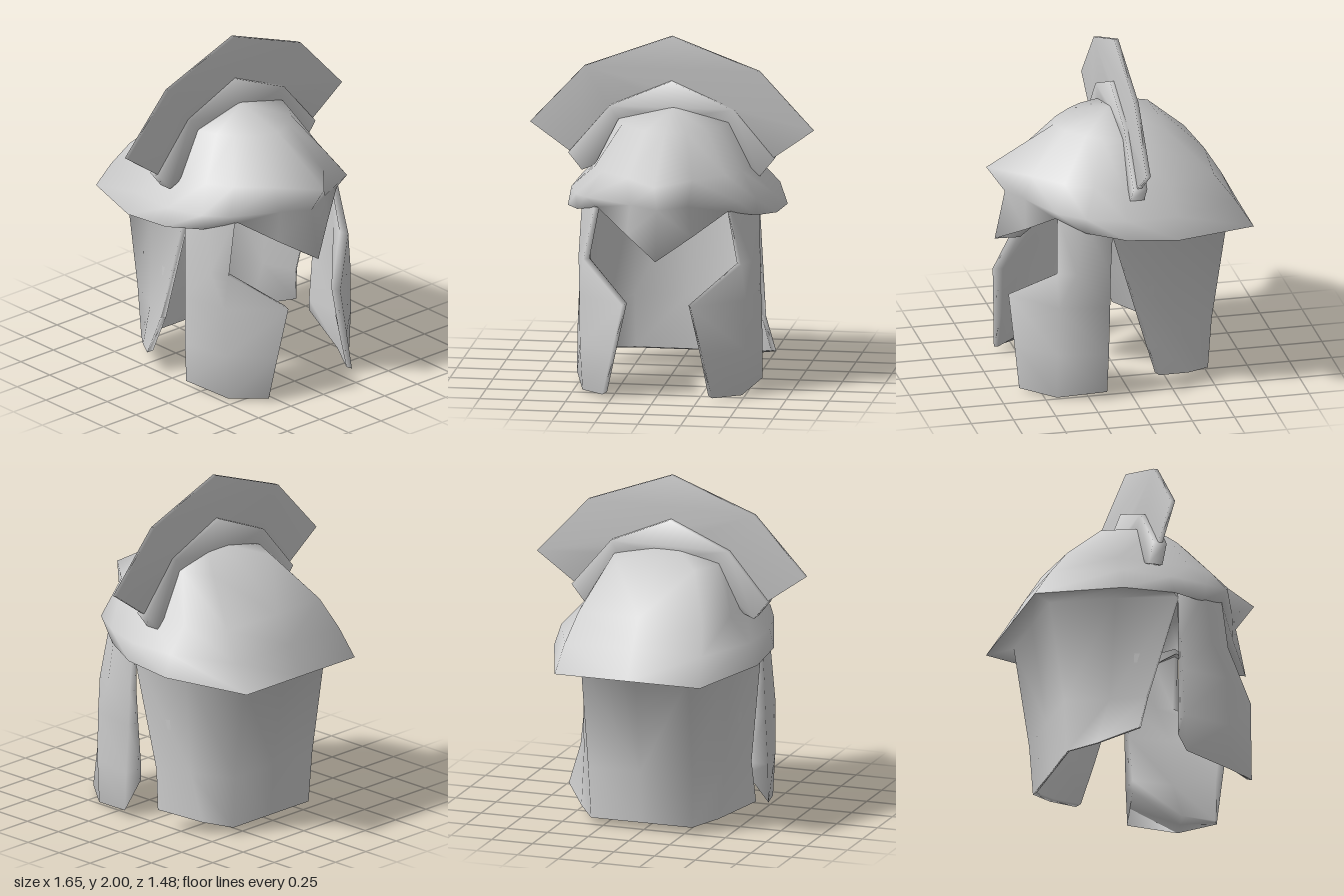
import * as THREE from 'three';
import { mergeVertices } from 'three/addons/utils/BufferGeometryUtils.js';

const material = new THREE.MeshStandardMaterial({ color: 0xcccccc, side: THREE.DoubleSide });

const flipX = ([x, y, z]) => [-x, y, z];
const mirrorRows = (rows) => rows.map((r) => r.map(flipX).reverse());

function smoothMesh(name, geometry) {
  const g = mergeVertices(geometry);
  g.computeVertexNormals();
  const mesh = new THREE.Mesh(g, material);
  mesh.name = name;
  return mesh;
}

// Smooth skin over closed cross-sections, listed from top to bottom
function loft(name, rows) {
  const n = rows[0].length;
  const index = [];
  for (let r = 0; r < rows.length - 1; r++) {
    for (let c = 0; c < n; c++) {
      const next = (c + 1) % n;
      const a = r * n + c, b = a + n, d = r * n + next, e = d + n;
      // Mirror the diagonals across the middle
      if (rows[r + 1][c][0] + rows[r + 1][next][0] > 0) index.push(a, b, e, a, e, d);
      else index.push(a, b, d, b, e, d);
    }
  }
  const g = new THREE.BufferGeometry();
  g.setAttribute('position', new THREE.Float32BufferAttribute(rows.flat(2), 3));
  g.setIndex(index);
  return smoothMesh(name, g);
}

// Fold a thin loop onto its middle line, which closes the end of a plate
const fold = (row) => row.map((p, i) => p.map((v, k) => (v + row[row.length - 1 - i][k]) / 2));

// Upright plate with a mirrored outline, given along the top and back inside
function arch(name, half, z, depth) {
  const left = half.filter(([x]) => x > 0).reverse().map(([x, y]) => [-x, y]);
  const shape = new THREE.Shape([...half, ...left].map(([x, y]) => new THREE.Vector2(x, y)));
  const g = new THREE.ExtrudeGeometry(shape, { depth, bevelEnabled: false });
  g.translate(0, 0, z - depth / 2);
  g.deleteAttribute('normal');
  g.deleteAttribute('uv');
  return smoothMesh(name, g);
}

// Rim of the bowl from side to back, where the neck guard begins
const backRim = [[0.61, 1.0, 0.05], [0.625, 0.98, -0.26], [0.445, 0.95, -0.74], [0, 0.95, -0.74]];

function createDome() {
  // Half rings from the front middle round the +x side to the back middle
  const halves = [
    [[0, 1.51, 0.34], [0.12, 1.51, 0.30], [0.22, 1.51, 0.20], [0.28, 1.51, 0.12],
      [0.32, 1.51, 0.02], [0.32, 1.51, -0.10], [0.24, 1.51, -0.27], [0, 1.51, -0.28]],
    [[0, 1.28, 0.74], [0.19, 1.28, 0.52], [0.36, 1.28, 0.36], [0.43, 1.27, 0.20],
      [0.45, 1.25, 0.03], [0.45, 1.25, -0.24], [0.38, 1.27, -0.52], [0, 1.28, -0.55]],
    [[0, 1.12, 0.63], [0.17, 1.13, 0.55], [0.45, 1.14, 0.43], [0.53, 1.12, 0.27],
      [0.59, 1.11, 0.04], [0.58, 1.11, -0.26], [0.42, 1.11, -0.64], [0, 1.12, -0.65]],
    // Lower rim, with the nose point at the front
    [[0, 0.83, 0.69], [0.19, 0.95, 0.55], [0.38, 1.08, 0.42], [0.52, 1.03, 0.27], ...backRim],
    // Underside of the visor
    [[0, 0.825, 0.54], [0.17, 0.96, 0.50], [0.34, 1.08, 0.38], [0.49, 1.03, 0.25], ...backRim],
  ];
  const rings = halves.map((h) => [...h, ...h.slice(1, -1).reverse().map(flipX)]);
  const pole = rings[0].map(() => [0, 1.59, 0.02]);
  return loft('dome', [pole, ...rings]);
}

function createNeckGuard() {
  const sheet = [
    [[0.52, 1.02, 0.1], [0.45, 0.99, -0.25], [0.33, 0.96, -0.61], [0, 0.96, -0.61]],
    [[0.525, 0.35, -0.09], [0.435, 0.35, -0.28], [0.32, 0.35, -0.52], [0, 0.35, -0.52]],
    [[0.575, 0.13, -0.15], [0.42, 0.065, -0.36], [0.31, 0.04, -0.5], [0, 0.04, -0.5]],
  ];
  const across = (h) => [...h, ...h.slice(0, -1).reverse().map(flipX)];
  const section = (outer, inner) => [...across(outer), ...across(inner).reverse()];
  const rows = sheet.map((h) => section(h, h.map(([x, y, z]) => [x * 0.95, y + 0.01, z + 0.02])));
  // The inner wall runs on up inside the bowl
  const top = section(backRim, [[0.44, 1.2, 0.08], [0.44, 1.2, -0.25], [0.35, 1.22, -0.55], [0, 1.24, -0.56]]);
  return loft('neckGuard', [top, ...rows, fold(rows[2])]);
}

function cheekRows() {
  // Front edge, fold and back edge of the outer face, then of the inner face
  const outer = [
    [[0.39, 1.12, 0.41], [0.49, 1.1, 0.28], [0.515, 1.06, 0.11]],
    [[0.46, 0.77, 0.43], [0.505, 0.77, 0.32], [0.525, 0.77, 0.125]],
    [[0.20, 0.56, 0.655], [0.485, 0.56, 0.42], [0.53, 0.56, 0.13]],
    [[0.265, 0.27, 0.635], [0.48, 0.27, 0.43], [0.54, 0.27, 0.14]],
    [[0.32, 0.02, 0.62], [0.465, 0, 0.43], [0.54, 0.04, 0.15]],
  ];
  const inner = [
    [[0.365, 1.12, 0.38], [0.46, 1.1, 0.26], [0.485, 1.06, 0.11]],
    [[0.43, 0.77, 0.39], [0.46, 0.77, 0.30], [0.47, 0.77, 0.125]],
    [[0.18, 0.56, 0.60], [0.43, 0.56, 0.38], [0.45, 0.56, 0.13]],
    [[0.245, 0.27, 0.59], [0.40, 0.27, 0.38], [0.415, 0.27, 0.14]],
    [[0.295, 0.03, 0.60], [0.375, 0.07, 0.43], [0.415, 0.20, 0.14]],
  ];
  const rows = outer.map((r, i) => [...r, ...inner[i].reverse()]);
  return [fold(rows[0]), ...rows, fold(rows[4])];
}

export function createModel() {
  const model = new THREE.Group();
  model.name = 'helmet';

  // Bowl, neck guard and the pair of cheek guards
  const shell = new THREE.Group();
  shell.name = 'shell';
  shell.position.x = 0.015;
  const cheek = cheekRows();
  shell.add(
    createDome(),
    createNeckGuard(),
    loft('leftCheekGuard', cheek),
    loft('rightCheekGuard', mirrorRows(cheek)),
  );

  // Crest running from side to side, held in a thicker base
  model.add(
    shell,
    arch('crest', [[0, 2], [0.51, 1.81], [0.825, 1.47], [0.56, 1.28], [0.32, 1.5], [0, 1.6]], -0.032, 0.026),
    arch('crestBase', [[0, 1.74], [0.36, 1.585], [0.6, 1.3], [0.52, 1.2], [0.4, 1.25], [0.26, 1.43], [0, 1.52]], -0.036, 0.082),
  );
  return model;
}
